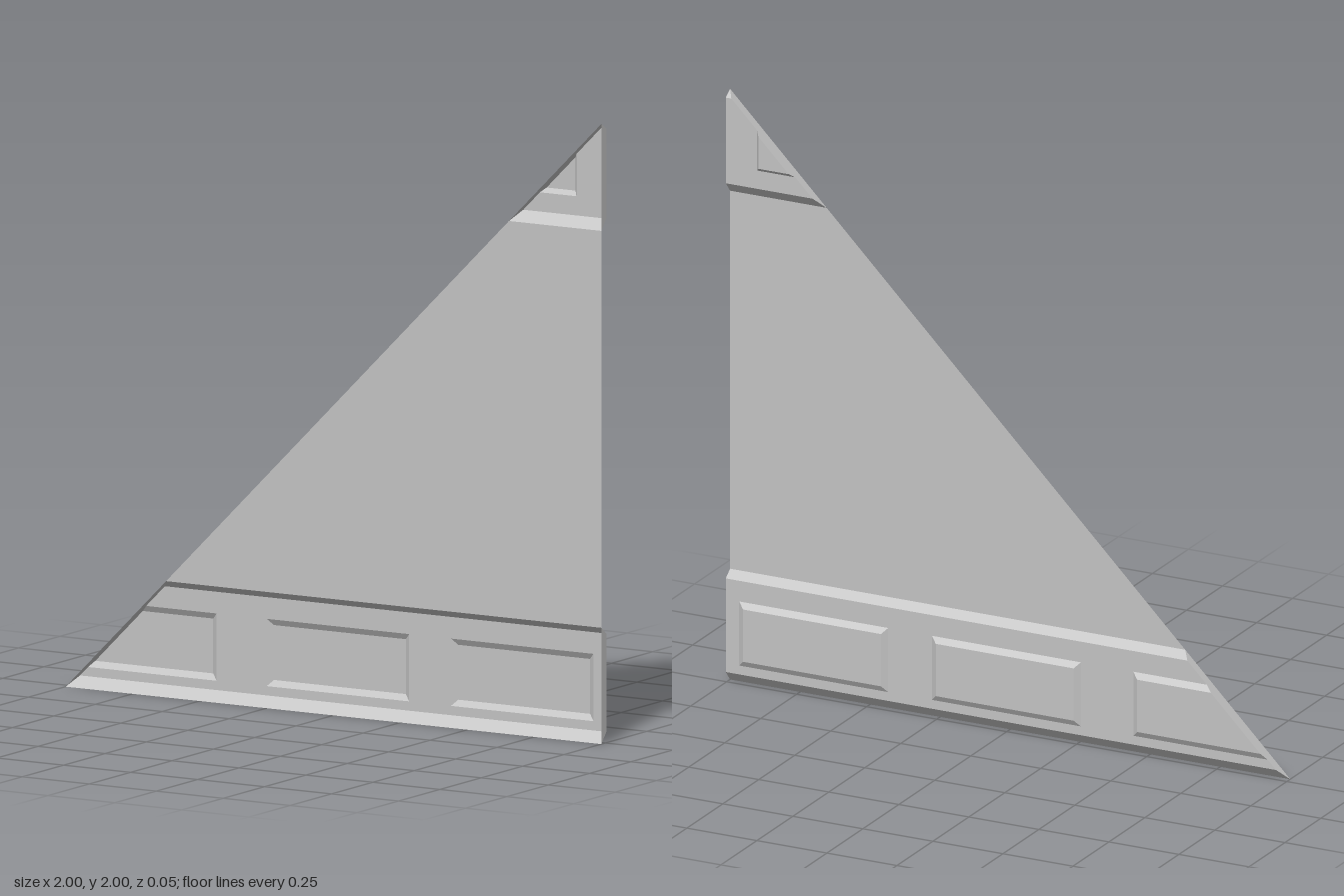
import * as THREE from 'three';

const FRONT = 0.024;   // plane of the wall sheet
const BACK = -0.006;   // rear face of the pressed bands

const grey = new THREE.MeshStandardMaterial({ color: 0xc2c2c2, side: THREE.DoubleSide });
grey.name = 'plain grey';

// Signed distance from the sloping edge (positive = inside the triangle)
const inside = (p) => p[0] - p[1] + 1;

// Trim a polygon at the sloping edge
function clip(poly) {
  const out = [];
  poly.forEach((a, i) => {
    const b = poly[(i + 1) % poly.length];
    const da = inside(a), db = inside(b);
    if (da >= 0) out.push(a);
    if (da * db < 0) out.push(a.map((v, k) => v + (b[k] - v) * da / (da - db)));
  });
  return out;
}

// Mesh from trimmed faces; edges on the slope or right-hand end get a side wall
function sheet(name, faces) {
  const pos = [];
  const fan = (p) => {
    for (let i = 1; i < p.length - 1; i++) pos.push(...p[0], ...p[i], ...p[i + 1]);
  };
  const near = (v) => Math.abs(v) < 1e-6;
  for (const face of faces) {
    const p = clip(face);
    if (p.length < 3) continue;
    fan(p);
    p.forEach((a, i) => {
      const b = p[(i + 1) % p.length];
      const onSlope = near(inside(a)) && near(inside(b));
      const onEnd = near(a[0] - 1) && near(b[0] - 1);
      const raised = !near(a[2] - FRONT) || !near(b[2] - FRONT);
      if ((onSlope || onEnd) && raised) fan([b, a, [a[0], a[1], FRONT], [b[0], b[1], FRONT]]);
    });
  }
  const geo = new THREE.BufferGeometry();
  geo.setAttribute('position', new THREE.Float32BufferAttribute(pos, 3));
  geo.computeVertexNormals();
  const mesh = new THREE.Mesh(geo, grey);
  mesh.name = name;
  return mesh;
}

// Rectangle whose depth runs from z0 at the bottom to z1 at the top
const rect = (x0, x1, y0, y1, z0, z1 = z0) =>
  [[x0, y0, z0], [x1, y0, z0], [x1, y1, z1], [x0, y1, z1]];

// Four bevels and a floor pressed towards the back
function panelFaces(x0, x1, y0, y1, bevel, z) {
  const outer = rect(x0, x1, y0, y1, BACK);
  const inner = rect(x0 + bevel, x1 - bevel, y0 + bevel, y1 - bevel, z);
  const sides = outer.map((p, i) => {
    const j = (i + 1) % 4;
    return [p, outer[j], inner[j], inner[i]];
  });
  return [...sides, inner];
}

// Horizontal band with bevelled top and bottom and a row of panels
function band(name, [yA, yB, yC, yD], [p0, p1], spans, bevel, depth) {
  const group = new THREE.Group();
  group.name = name;
  const faces = [
    rect(-1, 1, yA, yB, FRONT, BACK),
    rect(-1, 1, yB, p0, BACK),
    rect(-1, 1, p1, yC, BACK),
    rect(-1, 1, yC, yD, BACK, FRONT),
  ];
  // Plain stretches between the panels
  let x = -1;
  for (const [x0, x1] of [...spans, [1, 1]]) {
    faces.push(rect(x, x0, p0, p1, BACK));
    x = x1;
  }
  group.add(sheet(name + 'Frame', faces));
  for (const [x0, x1] of spans) {
    group.add(sheet(name + 'Panel', panelFaces(x0, x1, p0, p1, bevel, depth)));
  }
  return group;
}

export function createModel() {
  const model = new THREE.Group();
  model.name = 'triangularWall';
  model.add(sheet('wallSheet', [rect(-1, 1, 0.375, 1.655, FRONT)]));
  model.add(band('lowerBand', [0, 0.035, 0.352, 0.375], [0.065, 0.282],
    [[-0.99, -0.455], [-0.268, 0.264], [0.42, 0.952]], 0.02, -0.018));
  // The upper panel is trimmed to a small triangle by the slope
  model.add(band('upperBand', [1.655, 1.69, 1.98, 2], [1.752, 1.92],
    [[0.6, 0.888]], 0.014, -0.024));
  return model;
}
